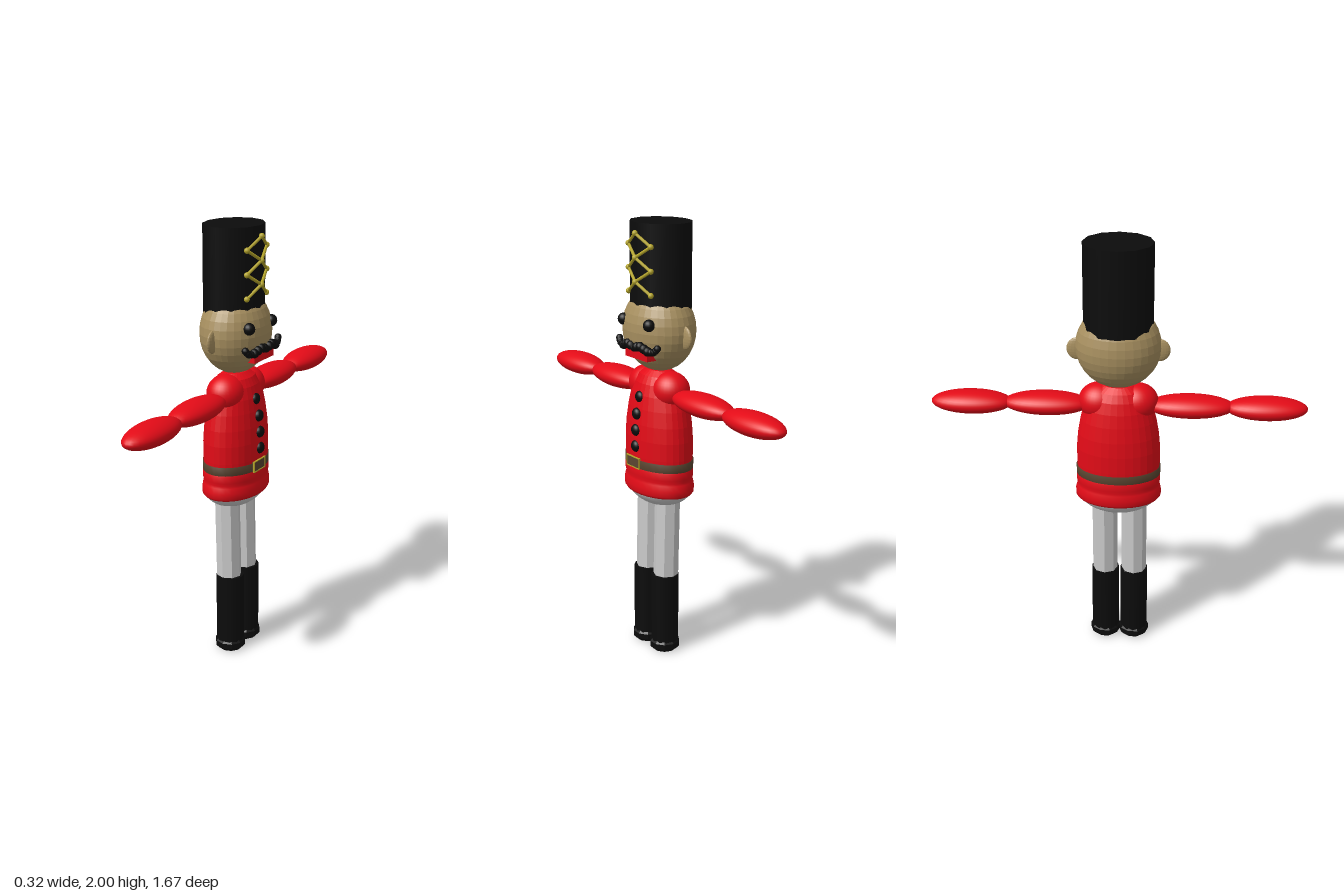
import * as THREE from 'three';

const mat = (color, flatShading = false) => new THREE.MeshStandardMaterial({ color, flatShading });
const red = mat(0xe30b17), redFacet = mat(0xe30b17, true), skin = mat(0xa89060, true), black = mat(0x0c0c0c);
const blackFacet = mat(0x0c0c0c, true), gold = mat(0xb5a52a), belt = mat(0x5a4530), grey = mat(0xcccccc), greyFacet = mat(0xcccccc, true);
const V = (x, y, z) => new THREE.Vector3(x, y, z);

// The figure looks along +x, its arms run along z
export function createModel() {
  const model = new THREE.Group();
  const add = (name, geometry, material, x = 0, y = 0, z = 0) => {
    const mesh = new THREE.Mesh(geometry, material);
    mesh.name = name;
    mesh.position.set(x, y, z);
    model.add(mesh);
    return mesh;
  };
  const ball = (name, material, [x, y, z], [rx, ry, rz], w = 32, h = 20) =>
    add(name, new THREE.SphereGeometry(1, w, h).scale(rx, ry, rz), material, x, y, z);
  const rod = (name, a, b, r, material) => {
    const mesh = add(name, new THREE.CylinderGeometry(r, r, a.distanceTo(b), 8), material);
    mesh.position.copy(a).lerp(b, 0.5);
    mesh.quaternion.setFromUnitVectors(V(0, 1, 0), b.clone().sub(a).normalize());
  };
  const lathe = (name, points, material) => add(name,
    new THREE.LatheGeometry(points.map(([r, y]) => new THREE.Vector2(r, y)), 32).scale(0.69, 1, 1), material, -0.01);

  // Head and tall hat
  ball('head', skin, [-0.01, 1.53, 0], [0.15, 0.19, 0.188], 32, 16);
  add('hat', new THREE.CylinderGeometry(1, 1, 0.39, 12).scale(0.13, 1, 0.152), black, -0.02, 1.805);

  // Face
  for (const s of [-1, 1]) {
    ball('ear', skin, [-0.017, 1.515, s * 0.178], [0.014, 0.052, 0.048], 20, 12);
    ball('eye', black, [0.113, 1.57, s * 0.096], [0.027, 0.027, 0.027], 16, 12);
  }
  add('mouth', new THREE.BoxGeometry(0.06, 0.042, 0.165), red, 0.095, 1.432, -0.015);

  // Moustache of tapering overlapping balls along a curled curve
  for (const s of [-1, 1]) {
    const curve = new THREE.CatmullRomCurve3([
      V(0.137, 1.462, 0), V(0.135, 1.475, 0.045), V(0.128, 1.46, 0.09), V(0.12, 1.462, 0.125), V(0.114, 1.48, 0.143)]);
    curve.points.forEach(p => { p.z = p.z * s - 0.015; });
    add('moustache', new THREE.TubeGeometry(curve, 24, 0.015, 8), black);
    curve.getPoints(8).forEach((p, i) => {
      const r = i > 0 && i < 5 ? 0.021 : 0.016;
      ball('moustacheCurl', black, p.toArray(), [r, r, r], 12, 8);
    });
  }

  // Gold lacing on the hat
  for (const s of [-1, 1]) {
    const knots = [0, 1, 2, 3, 4, 5].map(i =>
      V(i % 2 ? 0.094 : 0.118, 1.955 - i * 0.052, i % 2 ? s * 0.083 : 0));
    knots.forEach((p, i) => {
      ball('laceKnot', gold, p.toArray(), [0.013, 0.013, 0.013], 12, 8);
      if (i) rod('lace', knots[i - 1], p, 0.007, gold);
    });
  }

  // Coat with flared hem
  lathe('coat', [[0, 0.79], [0.16, 0.785], [0.185, 0.9], [0.188, 0.96], [0.188, 1.04], [0.182, 1.11], [0.17, 1.18],
    [0.155, 1.24], [0.135, 1.29], [0.11, 1.325], [0.07, 1.347], [0, 1.352]], redFacet);
  lathe('coatHem', [[0.15, 0.783], [0.185, 0.783], [0.195, 0.795], [0.196, 0.82], [0.19, 0.845], [0.185, 0.855],
    [0.191, 0.87], [0.191, 0.9], [0.18, 0.92]], red);
  lathe('belt', [[0.18, 0.906], [0.191, 0.906], [0.192, 0.945], [0.18, 0.945]], belt);

  // Buckle plate and frame
  add('bucklePlate', new THREE.BoxGeometry(0.012, 0.045, 0.095), belt, 0.117, 0.929, 0.016);
  for (const s of [-1, 1]) {
    add('buckleFrame', new THREE.BoxGeometry(0.008, 0.004, 0.1), gold, 0.122, 0.929 + s * 0.024, 0.016);
    add('buckleFrame', new THREE.BoxGeometry(0.008, 0.052, 0.004), gold, 0.122, 0.929, 0.016 + s * 0.048);
  }

  // Buttons
  [[0.092, 1.23], [0.11, 1.155], [0.115, 1.08], [0.116, 1.005]].forEach(([x, y]) =>
    ball('button', black, [x, y, 0.003], [0.02, 0.027, 0.027], 16, 12));

  // Hips
  ball('hips', grey, [-0.013, 0.82, 0], [0.13, 0.11, 0.188]);

  // Arms and legs
  for (const s of [-1, 1]) {
    ball('shoulder', red, [-0.01, 1.265, s * 0.085], [0.085, 0.083, 0.093]);
    ball('upperArm', red, [-0.01, 1.247, s * 0.32], [0.08, 0.05, 0.195]);
    ball('forearm', red, [-0.01, 1.245, s * 0.655], [0.08, 0.05, 0.182]);
    const z = 0.005 + s * 0.068;
    rod('leg', V(-0.003, 0.34, z), V(-0.013, 0.8, z), 0.058, greyFacet);
    add('boot', new THREE.CylinderGeometry(0.064, 0.064, 0.36, 12), black, 0.002, 0.2, z);
    const sole = [[0, 0], [0.055, 0], [0.071, 0.016], [0.071, 0.042], [0.06, 0.055], [0, 0.055]];
    add('foot', new THREE.LatheGeometry(sole.map(([r, y]) => new THREE.Vector2(r, y)), 10), blackFacet, 0.003, 0, z);
  }
  return model;
}
